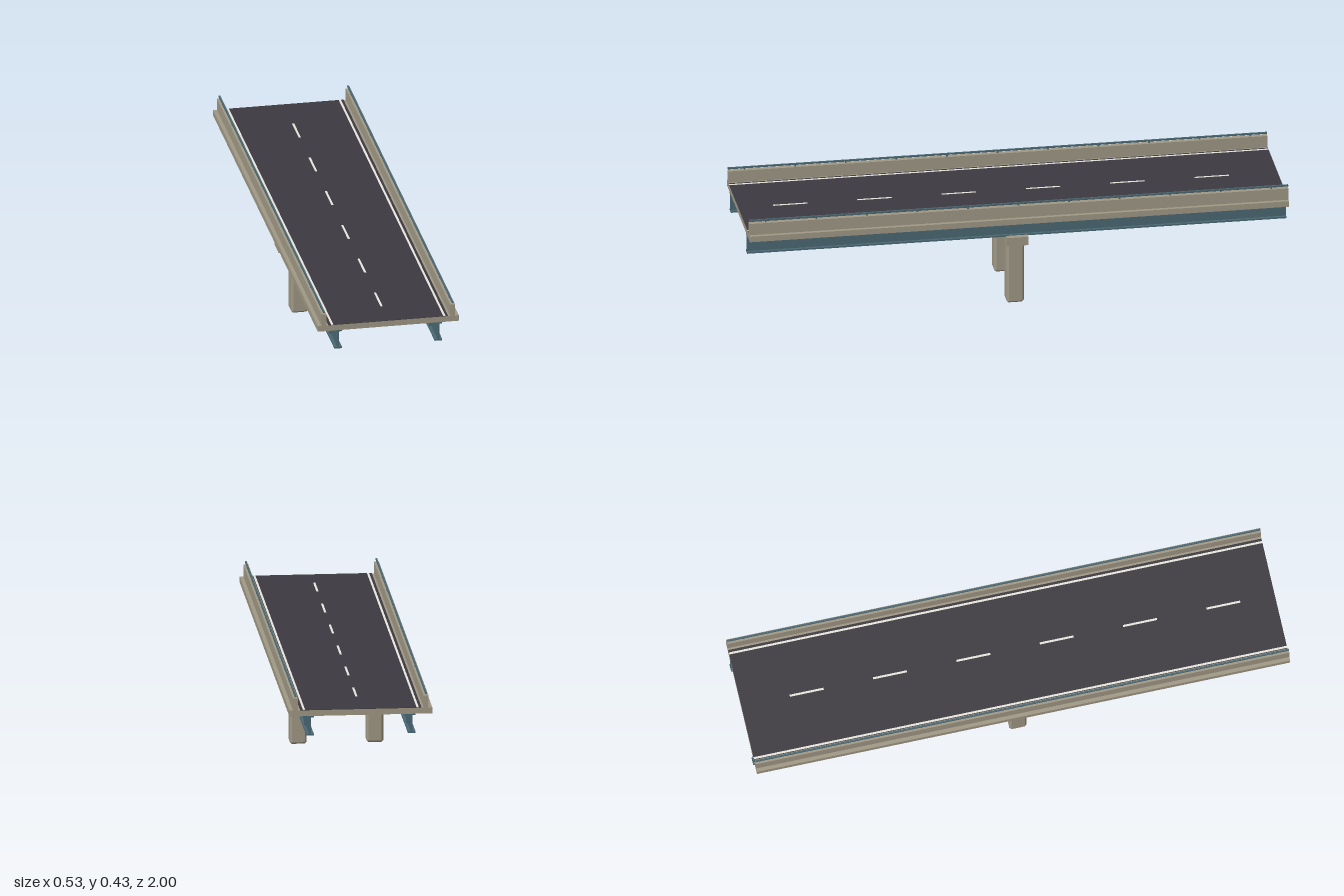
import * as THREE from 'three';
import { ConvexGeometry } from 'three/addons/geometries/ConvexGeometry.js';

function material(name, color) {
  const m = new THREE.MeshStandardMaterial({ color });
  m.name = name;
  return m;
}

// Box with flat chamfers on every edge
function chamferedBox(w, h, d, b) {
  const points = [];
  for (const sx of [-1, 1]) for (const sy of [-1, 1]) for (const sz of [-1, 1]) {
    const x = w / 2, y = h / 2, z = d / 2;
    points.push(
      new THREE.Vector3(sx * x, sy * (y - b), sz * (z - b)),
      new THREE.Vector3(sx * (x - b), sy * y, sz * (z - b)),
      new THREE.Vector3(sx * (x - b), sy * (y - b), sz * z));
  }
  return new ConvexGeometry(points);
}

export function createModel() {
  const concrete = material('concrete', 0xa09885);
  const asphalt = material('asphalt', 0x3c3a40);
  const steel = material('blue steel', 0x4a6874);
  const paint = material('white paint', 0xe6e4dc);

  const model = new THREE.Group();
  model.name = 'bridgeSpan';

  function add(parent, name, geometry, mat, x, y, z) {
    const mesh = new THREE.Mesh(geometry, mat);
    mesh.name = name;
    mesh.position.set(x, y, z);
    parent.add(mesh);
  }
  // Box given by its centre x, bottom, top and centre z
  function box(parent, name, mat, w, d, y0, y1, x = 0, z = 0) {
    add(parent, name, new THREE.BoxGeometry(w, y1 - y0, d), mat, x, (y0 + y1) / 2, z);
  }
  function group(name) {
    const g = new THREE.Group();
    g.name = name;
    model.add(g);
    return g;
  }

  // Deck and road surface
  box(model, 'deck', concrete, 0.526, 2, 0.353, 0.375);
  box(model, 'roadSurface', asphalt, 0.446, 2, 0.375, 0.3765);

  // Lane markings
  const markings = group('laneMarkings');
  for (let i = 0; i < 6; i++) {
    box(markings, 'centreDash', paint, 0.008, 0.127, 0.3765, 0.3775, 0, -0.755 + i * 0.3125);
  }

  // Crosshead of the pier
  box(model, 'crosshead', concrete, 0.444, 0.08, 0.25, 0.283);

  for (const side of [-1, 1]) {
    const label = side > 0 ? 'left' : 'right';
    box(markings, 'edgeLine', paint, 0.008, 2, 0.3765, 0.3775, side * 0.209);

    // Parapet wall with a thin rail on short posts
    const parapet = group(label + 'Parapet');
    box(parapet, 'parapetWall', concrete, 0.018, 2, 0.375, 0.42, side * 0.24);
    box(parapet, 'rail', steel, 0.006, 2, 0.426, 0.432, side * 0.24);
    for (let i = -5; i <= 5; i++) {
      box(parapet, 'railPost', steel, 0.004, 0.006, 0.42, 0.426, side * 0.24, i * 0.1875);
    }

    // I-section girder with web stiffeners
    const girder = group(label + 'Girder');
    const gx = side * 0.187;
    box(girder, 'topFlange', steel, 0.028, 2, 0.348, 0.353, gx);
    box(girder, 'web', steel, 0.007, 2, 0.286, 0.348, gx);
    box(girder, 'bottomFlange', steel, 0.028, 2, 0.28, 0.286, gx);
    for (let i = 0; i < 8; i++) {
      box(girder, 'stiffener', steel, 0.02, 0.006, 0.286, 0.348, gx, -0.875 + i * 0.25);
    }

    // Pier column
    add(model, label + 'Column', chamferedBox(0.062, 0.25, 0.064, 0.007), concrete, side * 0.141, 0.125, 0);
  }
  return model;
}
